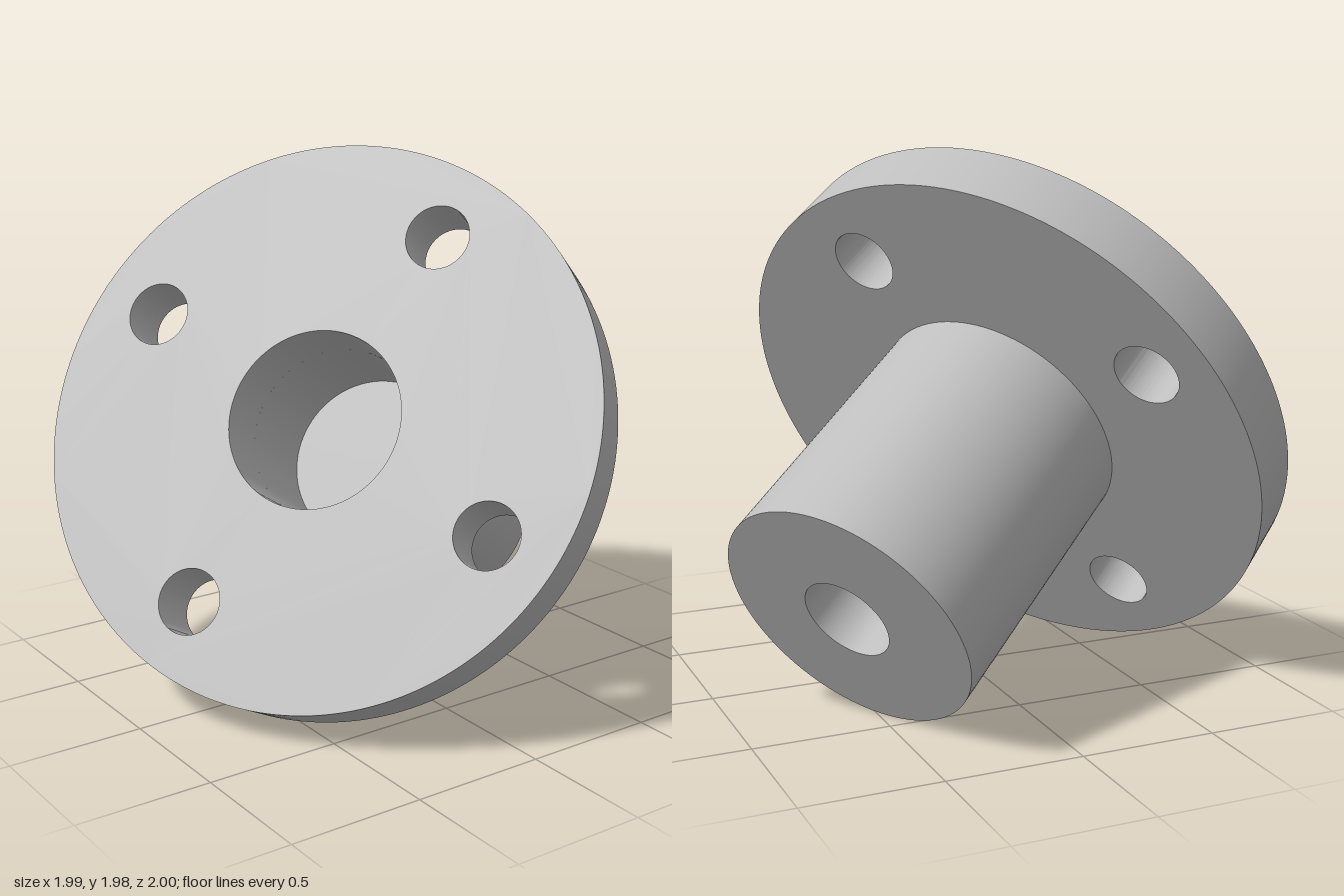
import * as THREE from 'three';
import { toCreasedNormals } from 'three/addons/utils/BufferGeometryUtils.js';

const SEGMENTS = 96;
const FLANGE_R = 1.067, FLANGE_T = 0.24;
const BARREL_R = 0.486, LENGTH = 1.28;
const BORE_R = 0.336, BORE_DEPTH = 0.672;
const PILOT_R = 0.168, PILOT_DEPTH = 0.336;
const BOLT_R = 0.122, BOLT_CIRCLE = 0.8;

const circle = (Type, x, y, r, clockwise) =>
  new Type().absarc(x, y, r, 0, Math.PI * 2, clockwise);

export function createModel() {
  const metal = new THREE.MeshStandardMaterial({ color: 0xbdbdbd });
  metal.name = 'plain grey metal';

  // Flange: round plate with a centre bore and four bolt holes, face at z = 0
  const plate = circle(THREE.Shape, 0, 0, FLANGE_R, false);
  plate.holes.push(circle(THREE.Path, 0, 0, BORE_R, true));
  for (let i = 0; i < 4; i++) {
    const a = (i * Math.PI) / 2;
    plate.holes.push(circle(THREE.Path,
      BOLT_CIRCLE * Math.cos(a), BOLT_CIRCLE * Math.sin(a), BOLT_R, true));
  }
  const flangeGeometry = new THREE.ExtrudeGeometry(plate, {
    depth: FLANGE_T, bevelEnabled: false, curveSegments: SEGMENTS,
  });
  flangeGeometry.translate(0, 0, -FLANGE_T);
  const flange = new THREE.Mesh(toCreasedNormals(flangeGeometry, 0.6), metal);
  flange.name = 'flange';

  // Barrel: turned profile with a blind hole in the end and a wide blind bore
  const profile = [
    [0, PILOT_DEPTH - LENGTH], [PILOT_R, PILOT_DEPTH - LENGTH],
    [PILOT_R, -LENGTH], [BARREL_R, -LENGTH],
    [BARREL_R, -FLANGE_T], [BORE_R, -FLANGE_T],
    [BORE_R, -BORE_DEPTH], [0, -BORE_DEPTH],
  ].map(([r, y]) => new THREE.Vector2(r, y));
  const barrelGeometry = new THREE.LatheGeometry(profile, SEGMENTS);
  barrelGeometry.rotateX(Math.PI / 2);
  const barrel = new THREE.Mesh(toCreasedNormals(barrelGeometry, 0.6), metal);
  barrel.name = 'barrel';

  // Tilt: local z is the flange normal, local x points at the first bolt hole
  const normal = new THREE.Vector3(-0.74, 0.488, 0.463).normalize();
  const side = new THREE.Vector3(0.475, 0.625, 0.1);
  side.addScaledVector(normal, -side.dot(normal)).normalize();
  const up = new THREE.Vector3().crossVectors(normal, side);

  const body = new THREE.Group();
  body.name = 'flangedHub';
  body.add(flange, barrel);
  body.quaternion.setFromRotationMatrix(new THREE.Matrix4().makeBasis(side, up, normal));
  body.position.set(-0.28, 1.05, 0.055);

  const model = new THREE.Group();
  model.name = 'flangedBushing';
  model.add(body);
  return model;
}
